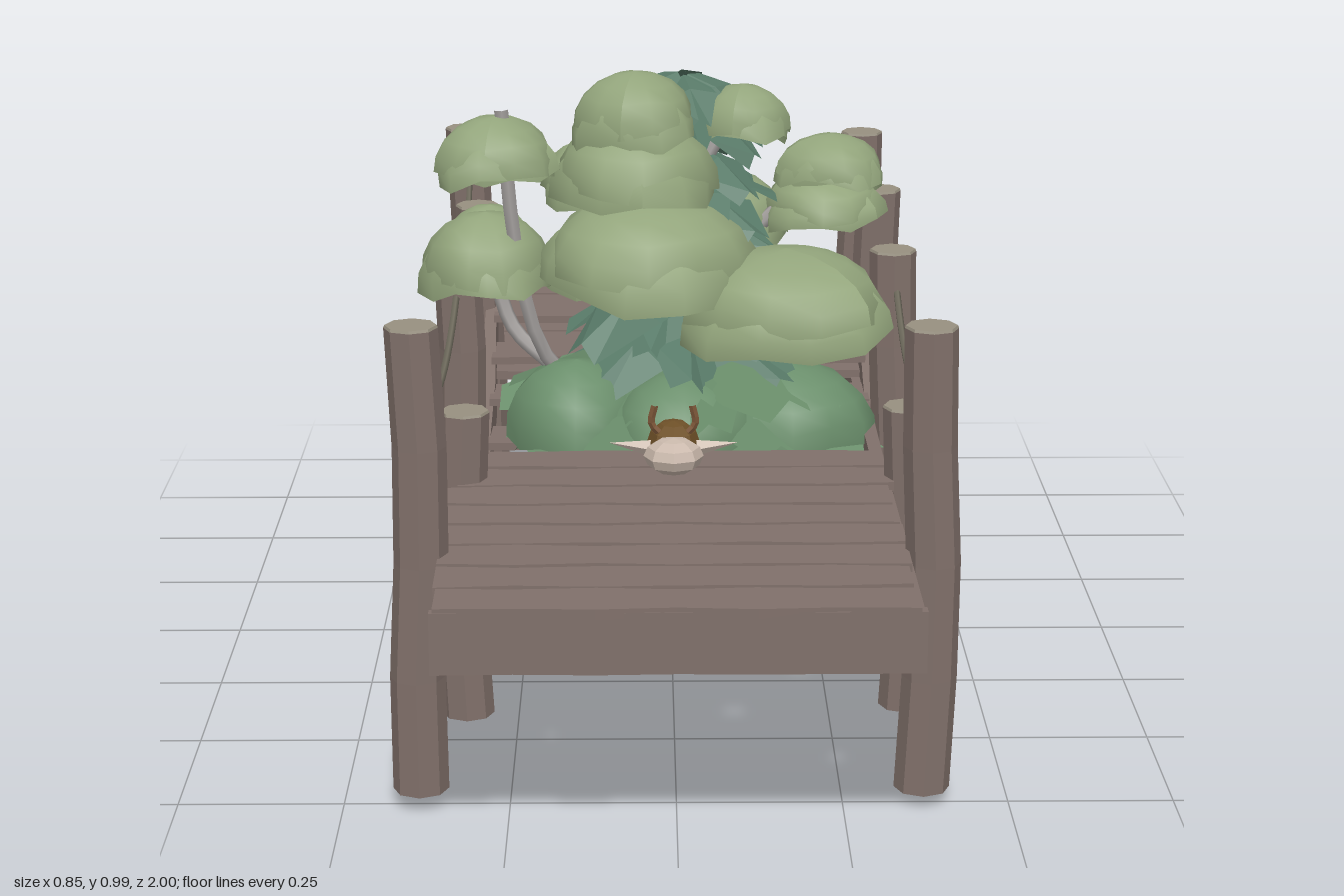
import * as THREE from 'three';
import { mergeGeometries } from 'three/addons/utils/BufferGeometryUtils.js';

let seed = 7;
const rnd = (a = -1, b = 1) => {
  seed = (seed * 16807) % 2147483647;
  return a + (b - a) * (seed / 2147483647);
};
const V = (x, y, z) => new THREE.Vector3(x, y, z);
const mat = (color, flatShading = true, side = THREE.FrontSide) =>
  new THREE.MeshStandardMaterial({ color, flatShading, side });

const wood = mat(0x80706a), cutWood = mat(0x979080), hullWood = mat(0x74625c, true, THREE.DoubleSide);
const ropeMat = mat(0x706c5e, false), bark = mat(0xa5a19f, false);
const lightLeaf = mat(0x93a57c, false, THREE.DoubleSide);
const midLeaf = mat(0x6b8f6c, false, THREE.DoubleSide);
const darkLeaf = mat(0x587a68, true, THREE.DoubleSide);
const fur = mat(0x6e5028), paleFur = mat(0xc9b8ab), horn = mat(0x7b5638);

function add(parent, name, geo, material, x = 0, y = 0, z = 0) {
  const m = new THREE.Mesh(geo, material);
  m.name = name;
  m.position.set(x, y, z);
  parent.add(m);
  return m;
}
const group = (parent, name) => {
  const g = new THREE.Group();
  g.name = name;
  parent.add(g);
  return g;
};
const tube = (pts, r, seg = 10, sides = 6) =>
  new THREE.TubeGeometry(new THREE.CatmullRomCurve3(pts), seg, r, sides);

// Board with slightly wavy edges along its length (x)
function board(len, h, d, wave = 0.004) {
  const g = new THREE.BoxGeometry(len, h, d, 6, 1, 1), p = g.attributes.position, ph = rnd(0, 6);
  for (let i = 0; i < p.count; i++) {
    const x = p.getX(i);
    p.setZ(i, p.getZ(i) + wave * Math.sin(x * 23 + ph + p.getZ(i) * 40));
  }
  return g;
}

// Eight-sided post, bent a little along its height
function post(parent, x, z, y0, y1) {
  const h = y1 - y0, r = 0.042, ph = rnd(0, 6);
  const g = new THREE.CylinderGeometry(r * 0.94, r, h, 8, 4), p = g.attributes.position;
  const dx = (y) => 0.006 * Math.sin(y * 9 + ph);
  for (let i = 0; i < p.count; i++) p.setX(i, p.getX(i) + dx(p.getY(i)));
  add(parent, 'post', g, wood, x, y0 + h / 2, z);
  add(parent, 'postTop', new THREE.CylinderGeometry(r * 0.9, r * 0.94, 0.004, 8), cutWood, x + dx(h / 2), y1 + 0.002, z);
}

function rope(parent, x0, z0, y0, x1, z1, y1, sag) {
  const pts = [];
  for (let i = 0; i <= 8; i++) {
    const t = i / 8;
    pts.push(V(x0 + (x1 - x0) * t, y0 + (y1 - y0) * t - sag * 4 * t * (1 - t), z0 + (z1 - z0) * t));
  }
  add(parent, 'rope', tube(pts, 0.006, 16, 5), ropeMat);
}

// Broad pointed leaf growing along +z, drooping at the tip
function leaf(w, l, droop) {
  const g = new THREE.PlaneGeometry(w, l, 2, 2).rotateX(Math.PI / 2).translate(0, 0, l / 2);
  const p = g.attributes.position;
  for (let i = 0; i < p.count; i++) {
    const t = p.getZ(i) / l, x = p.getX(i);
    p.setXYZ(i, x * (0.7 + 1.1 * t - 1.4 * t * t), -droop * t * t - Math.abs(x) * 0.3, p.getZ(i));
  }
  return g;
}
// Ring of leaves starting at radius r, widened along x by sx
function leafRing(list, cx, cy, cz, n, w, l, droop, r = 0, sx = 1) {
  for (let i = 0; i < n; i++) {
    const g = leaf(w * rnd(0.8, 1.2), l * rnd(0.75, 1.1), droop * rnd(0.7, 1.3));
    g.rotateZ(rnd() * 0.35).translate(0, 0, r).rotateY((i + rnd(-0.3, 0.3)) / n * Math.PI * 2);
    list.push(g.scale(sx, 1, 1).translate(cx, cy + rnd() * 0.015, cz));
  }
}

// Hollow dome of foliage with an uneven rim
function dome(r, h) {
  const g = new THREE.SphereGeometry(r, 12, 5, 0, Math.PI * 2, 0, Math.PI * 0.54), p = g.attributes.position;
  const ph = rnd(0, 6);
  for (let i = 0; i < p.count; i++) {
    const a = Math.atan2(p.getZ(i), p.getX(i)), t = 1 - p.getY(i) / r;
    const k = 1 + 0.07 * t * Math.sin(a * 3 + ph);
    p.setXYZ(i, p.getX(i) * k, p.getY(i) * h / r - 0.008 * t * Math.sin(a * 4 + ph), p.getZ(i) * k);
  }
  g.computeVertexNormals();
  return g;
}

function buildDeck(root) {
  const deck = group(root, 'deck');
  for (let i = 0; i < 21; i++) {
    const z = -0.952 + i * 0.0952;
    if (Math.abs(z) < 0.2) continue; // gap where the tree grows through
    const m = add(deck, 'plank', board(0.69 + rnd() * 0.012, 0.015, 0.084), wood, rnd() * 0.008 - 0.004, 0.39, z);
    m.rotation.y = 0.008 + rnd() * 0.014;
  }
  for (const s of [-1, 1]) {
    add(deck, 'sideBeam', board(1.97, 0.085, 0.022, 0.002).rotateY(Math.PI / 2), wood, s * 0.335, 0.342, 0);
    add(deck, 'endBoard', board(0.7, 0.092, 0.018, 0.002), wood, 0, 0.345, s * 0.985);
  }
  // Stairs rising through the gap: sloped stringers and flat treads
  const stairs = group(root, 'stairs');
  for (const x of [-0.32, 0.35]) {
    const m = add(stairs, 'stringer', board(0.86, 0.08, 0.022, 0.002).rotateY(Math.PI / 2), wood, x, 0.305, -0.045);
    m.rotation.x = 0.44;
  }
  for (let i = 0; i < 7; i++)
    add(stairs, 'tread', board(0.66, 0.013, 0.1), wood, 0.015, 0.19 + i * 0.048, 0.27 - i * 0.103);
}

function buildPosts(root) {
  const posts = group(root, 'postsAndRopes');
  const right = [[0.375, 0.74, 0.02, 0.735], [0.375, 0.38, 0.01, 0.51], [0.38, -0.015, 0.03, 0.67], [0.37, -0.36, 0.015, 0.7], [0.37, -0.79, 0.03, 0.72]];
  const left = [[-0.38, 0.75, 0.025, 0.74], [-0.335, 0.385, 0, 0.505], [-0.36, 0.01, 0.03, 0.67], [-0.34, -0.37, 0.01, 0.67], [-0.38, -0.76, 0.025, 0.735]];
  for (const side of [right, left]) {
    for (const [x, z, y0, y1] of side) post(posts, x, z, y0, y1);
    const [a, , b, , c] = side;
    rope(posts, a[0], a[1], 0.64, b[0], b[1], 0.62, 0.085);
    rope(posts, b[0], b[1], 0.62, c[0], c[1], 0.65, 0.085);
  }
}

// Boat: hull lofted through cross-sections [z, halfWidth, top, bottom]
function buildBoat(root) {
  const boat = group(root, 'boat');
  const secs = [[0.35, 0.09, 0.155, 0.115], [0.24, 0.155, 0.2, 0.05], [0, 0.176, 0.2, 0.04], [-0.2, 0.176, 0.195, 0.04], [-0.38, 0.165, 0.195, 0.05], [-0.45, 0.15, 0.2, 0.115]];
  const shape = [[0.96, 1], [1.05, 0.5], [0.94, 0], [0, -0.03], [-0.94, 0], [-1.05, 0.5], [-0.96, 1]];
  const pos = [], idx = [], n = shape.length;
  for (const [z, w, t, b] of secs) for (const [u, v] of shape) pos.push(u * w, b + (t - b) * v, z);
  for (let i = 0; i < secs.length - 1; i++)
    for (let j = 0; j < n - 1; j++) {
      const a = i * n + j, c = a + n;
      idx.push(a, c, a + 1, a + 1, c, c + 1);
    }
  for (const o of [0, (secs.length - 1) * n])
    for (let j = 1; j < n - 1; j++) idx.push(o, o + j, o + j + 1);
  const g = new THREE.BufferGeometry();
  g.setAttribute('position', new THREE.Float32BufferAttribute(pos, 3));
  g.setIndex(idx);
  g.computeVertexNormals();
  add(boat, 'hull', g, hullWood);
  for (const s of [-1, 1])
    add(boat, 'gunwale', tube(secs.map(([z, w, t]) => V(s * w * 0.96, t, z)), 0.01, 12, 4), wood);
  const stem = add(boat, 'stem', new THREE.BoxGeometry(0.055, 0.03, 0.16), wood, 0, 0.08, 0.29);
  stem.rotation.x = -0.53;
  for (const z of [-0.3, 0.1]) add(boat, 'seat', new THREE.BoxGeometry(0.3, 0.012, 0.06), wood, 0, 0.15, z);
}

function buildAnimal(root) {
  const a = group(root, 'hornedAnimal');
  const ball = (name, m, x, y, z, sx, sy, sz) =>
    add(a, name, new THREE.SphereGeometry(1, 8, 6), m, x, y, z).scale.set(sx, sy, sz);
  ball('body', fur, 0, 0.255, -0.03, 0.085, 0.06, 0.22);
  add(a, 'neck', tube([V(0, 0.27, 0.12), V(0, 0.34, 0.21), V(0, 0.42, 0.29)], 0.036, 5, 7), fur);
  ball('head', fur, 0, 0.435, 0.31, 0.042, 0.034, 0.05);
  ball('muzzle', paleFur, 0, 0.425, 0.36, 0.048, 0.03, 0.045);
  for (const s of [-1, 1]) {
    for (const z of [-0.18, 0.13])
      add(a, 'leg', new THREE.CylinderGeometry(0.028, 0.018, 0.2, 6), fur, s * 0.06, 0.16, z);
    const ear = add(a, 'ear', new THREE.ConeGeometry(0.014, 0.065, 5), paleFur, s * 0.07, 0.437, 0.34);
    ear.rotation.z = -s * 1.45;
    add(a, 'horn', tube([V(s * 0.018, 0.45, 0.33), V(s * 0.035, 0.47, 0.33), V(s * 0.03, 0.5, 0.33)], 0.006, 6, 5), horn);
  }
}

function buildTree(root) {
  const tree = group(root, 'tree');
  const trunks = [
    [[0, 0.15, -0.05], [-0.02, 0.5, -0.04], [-0.06, 0.85, 0]],
    [[-0.15, 0.42, 0], [-0.22, 0.52, 0.04], [-0.26, 0.7, 0.06], [-0.28, 0.93, 0.07]],
    [[-0.2, 0.48, 0.02], [-0.27, 0.54, -0.02], [-0.31, 0.68, -0.04]],
    [[0, 0.5, -0.04], [0.12, 0.56, 0.04], [0.26, 0.6, 0.1]],
    [[0, 0.6, -0.05], [0.14, 0.7, -0.05], [0.27, 0.83, -0.05]],
    [[0, 0.7, -0.04], [0.06, 0.83, -0.03], [0.12, 0.93, -0.04]],
  ];
  trunks.forEach((t, i) => add(tree, i ? 'branch' : 'trunk', tube(t.map((p) => V(...p)), i ? 0.013 : 0.03), bark));

  // Light canopies [x, y of rim, z, radius, height], each with a tilted lower layer
  const domes = [
    [-0.06, 0.905, 0.05, 0.1, 0.085], [-0.06, 0.81, 0.05, 0.135, 0.1], [-0.04, 0.675, 0.06, 0.175, 0.11],
    [-0.29, 0.84, 0.07, 0.1, 0.08], [-0.31, 0.645, 0.01, 0.11, 0.1], [0.12, 0.88, -0.05, 0.08, 0.07],
    [0.27, 0.8, -0.05, 0.09, 0.065], [0.26, 0.74, -0.06, 0.1, 0.06], [0.19, 0.6, 0.09, 0.17, 0.1],
    [-0.12, 0.77, -0.1, 0.1, 0.08], [0.08, 0.7, -0.12, 0.12, 0.09], [-0.1, 0.63, -0.1, 0.12, 0.09],
    [-0.31, 0.66, -0.07, 0.08, 0.08],
  ];
  for (const [x, y, z, r, h] of domes)
    for (const k of [0, 1]) {
      const m = add(tree, 'canopy', dome(r * (1 + k * 0.03), h), lightLeaf, x, y - k * 0.22 * h, z);
      m.rotation.set(k * rnd() * 0.15, rnd(0, 6), k * rnd() * 0.15 - x * 0.1);
    }
  // Low bushes around the trunk at deck height
  for (const [x, z, r, h] of [[-0.16, 0.05, 0.12, 0.12], [0.2, 0.04, 0.14, 0.11], [0.02, -0.1, 0.17, 0.13], [0.02, 0.1, 0.13, 0.11]])
    add(tree, 'bush', dome(r, h), midLeaf, x, 0.38, z);

  // Dark layered leaves up the back and hanging below the deck
  const upper = [], low = [], lower = [];
  for (let i = 0; i < 8; i++) leafRing(upper, 0.02, 0.55 + i * 0.06, -0.05 - i * 0.003, 7, 0.17 - i * 0.01, 0.21 - i * 0.014, 0.07, 0.01);
  for (let i = 0; i < 3; i++) leafRing(low, 0.02, 0.5 - i * 0.04, -0.01, 11, 0.17, 0.2, 0.06, 0.05 + i * 0.025, 1.12);
  for (let i = 0; i < 4; i++) leafRing(lower, 0, 0.32 - i * 0.065, -0.04, 9, 0.18, 0.18, 0.07, 0.11 + i * 0.005, 1.2);
  add(tree, 'upperLeaves', mergeGeometries(upper), darkLeaf);
  add(tree, 'bushLeaves', mergeGeometries(low), midLeaf);
  add(tree, 'hangingLeaves', mergeGeometries(lower), darkLeaf);
}

export function createModel() {
  seed = 7;
  const root = new THREE.Group();
  root.name = 'overgrownJetty';
  for (const build of [buildDeck, buildPosts, buildBoat, buildAnimal, buildTree]) build(root);
  return root;
}
